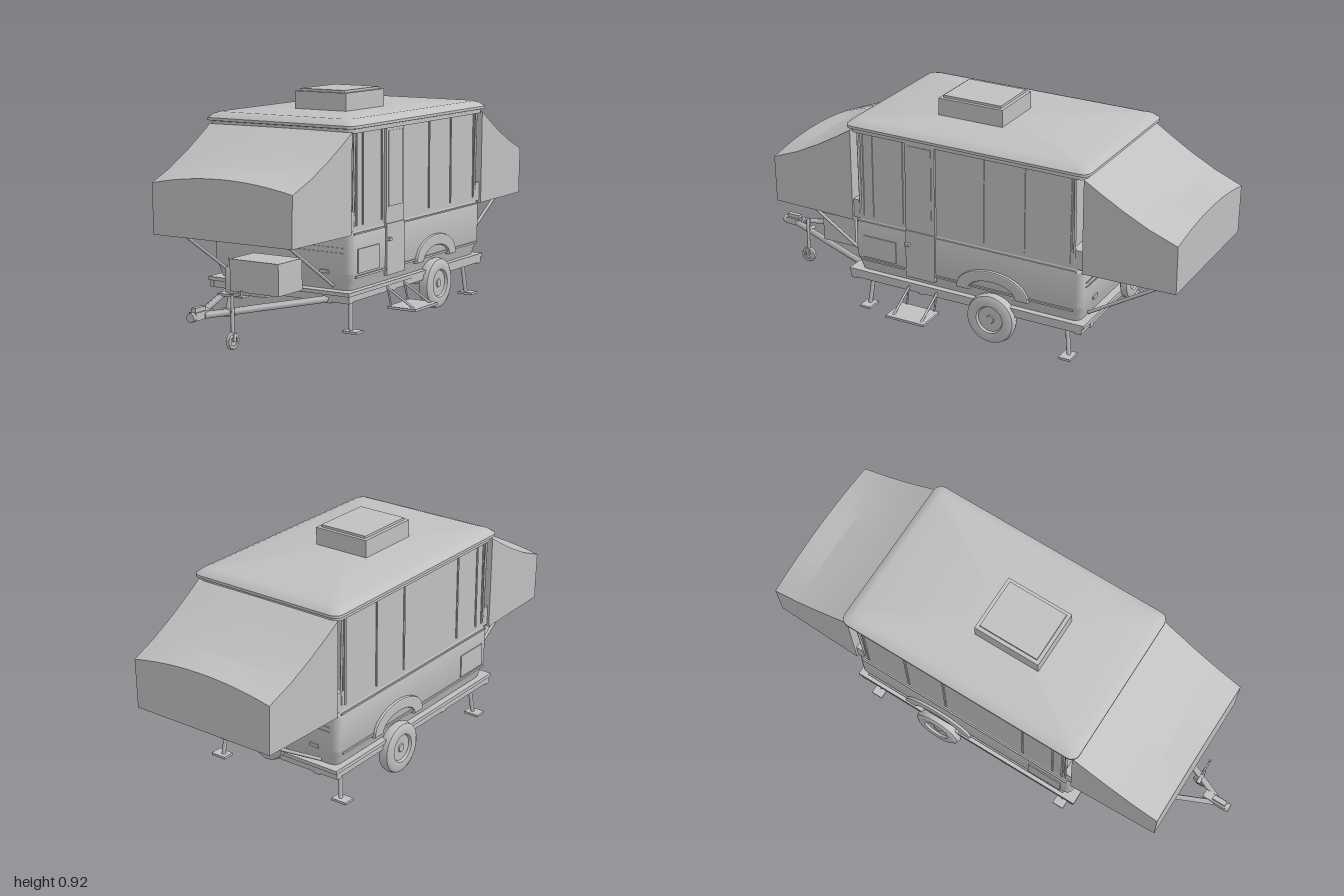
import * as THREE from 'three';
import { toCreasedNormals } from 'three/addons/utils/BufferGeometryUtils.js';

const CX = -0.063; // centre line of the trailer body

export function createModel() {
  const root = new THREE.Group();
  root.name = 'popUpCamper';
  const grey = new THREE.MeshStandardMaterial({ color: 0xc0c0c0 });
  grey.name = 'light grey';

  const add = (name, geo) => {
    const m = new THREE.Mesh(geo, grey);
    m.name = name;
    root.add(m);
    return m;
  };
  // box given by its limits
  const box = (name, x0, x1, y0, y1, z0, z1) => {
    const m = add(name, new THREE.BoxGeometry(x1 - x0, y1 - y0, Math.abs(z1 - z0)));
    m.position.set((x0 + x1) / 2, (y0 + y1) / 2, (z0 + z1) / 2);
    return m;
  };
  // round or square bar between two points
  const bar = (name, a, b, r, sides = 8) => {
    const p = new THREE.Vector3(...a), q = new THREE.Vector3(...b);
    const m = add(name, new THREE.CylinderGeometry(r, r, p.distanceTo(q), sides));
    m.position.copy(p).lerp(q, 0.5);
    m.quaternion.setFromUnitVectors(new THREE.Vector3(0, 1, 0), q.sub(p).normalize());
    return m;
  };
  // closed skin through rings of equal point count
  const loft = (rings, crease = 0.5) => {
    const pos = [], n = rings[0].length;
    const tri = (...ps) => ps.forEach(p => pos.push(...p));
    for (let i = 0; i + 1 < rings.length; i++) {
      for (let j = 0; j < n; j++) {
        const k = (j + 1) % n, A = rings[i], B = rings[i + 1];
        tri(A[j], A[k], B[k]);
        tri(A[j], B[k], B[j]);
      }
    }
    const mid = r => [0, 1, 2].map(c => r.reduce((s, p) => s + p[c], 0) / n);
    const first = rings[0], last = rings[rings.length - 1];
    for (let j = 0; j < n; j++) {
      const k = (j + 1) % n;
      tri(first[k], first[j], mid(first));
      tri(last[j], last[k], mid(last));
    }
    const g = new THREE.BufferGeometry();
    g.setAttribute('position', new THREE.Float32BufferAttribute(pos, 3));
    return toCreasedNormals(g, crease);
  };
  // horizontal rounded rectangle
  const plan = (y, hx, hz, r, zc) => {
    const pts = [];
    [[1, -1], [-1, -1], [-1, 1], [1, 1]].forEach(([sx, sz], c) => {
      for (let i = 0; i <= 4; i++) {
        const t = (c + i / 4) * Math.PI / 2;
        pts.push([CX + sx * (hx - r) + r * Math.cos(t), y, zc + sz * (hz - r) - r * Math.sin(t)]);
      }
    });
    return pts;
  };

  // lower body, deck and canvas walls
  add('lowerBody', loft([
    plan(0.178, 0.31, 0.5, 0.03, -0.0975), plan(0.22, 0.322, 0.51, 0.03, -0.0975),
    plan(0.245, 0.33, 0.518, 0.03, -0.0975), plan(0.395, 0.33, 0.518, 0.03, -0.0975),
    plan(0.412, 0.322, 0.51, 0.03, -0.0975)]));
  box('deck', -0.4, 0.273, 0.163, 0.178, -0.63, 0.445);
  box('canvasWalls', -0.387, 0.261, 0.41, 0.795, -0.568, 0.385);
  box('frontSill', -0.387, 0.261, 0.41, 0.49, 0.385, 0.43);
  box('rearSill', -0.387, 0.261, 0.41, 0.49, -0.62, -0.568);

  // roof and air conditioner
  add('roof', loft([
    plan(0.79, 0.338, 0.522, 0.03, -0.0975), plan(0.806, 0.338, 0.522, 0.03, -0.0975),
    plan(0.809, 0.351, 0.54, 0.035, -0.0975), plan(0.82, 0.351, 0.54, 0.035, -0.0975),
    plan(0.835, 0.335, 0.524, 0.035, -0.0975), plan(0.843, 0.312, 0.5, 0.035, -0.0975)], 0.6));
  box('airConditioner', -0.185, 0.06, 0.84, 0.915, -0.155, 0.135);
  box('airConditionerLid', -0.17, 0.045, 0.915, 0.925, -0.14, 0.12);

  // tented bunks: [distance out, side height, arch rise, half width]
  const bunkRows = [[0, 0.795, 0.002, 0.337], [0.07, 0.752, 0.006, 0.335], [0.16, 0.7, 0.01, 0.332],
    [0.27, 0.645, 0.018, 0.329], [0.385, 0.6, 0.035, 0.325]];
  const bunk = (name, z0, dir) => {
    const rings = bunkRows.map(([d, side, rise, h]) => {
      const z = z0 + dir * d;
      const ring = [[CX - h + 0.004, 0.4, z], [CX + h - 0.004, 0.4, z]];
      for (let i = 0; i <= 12; i++) {
        const u = 1 - i / 6;
        ring.push([CX + u * h, side + rise * (1 - u * u), z]);
      }
      return ring;
    });
    add(name, loft(dir > 0 ? rings : rings.reverse(), 0.15));
  };
  bunk('frontBunk', 0.423, 1);
  bunk('rearBunk', -0.615, -1);

  for (const s of [-1, 1]) {
    const X = d => CX + s * d;
    const side = (name, d0, d1, y0, y1, z0, z1) =>
      box(name, Math.min(X(d0), X(d1)), Math.max(X(d0), X(d1)), y0, y1, z0, z1);

    // canvas seams, tent poles and body trim
    for (const z of [0.375, 0.33, 0.19, -0.18, -0.36, -0.558])
      side('canvasSeam', 0.324, 0.328, 0.43, 0.79, z - 0.004, z + 0.004);
    for (const z of [0.392, -0.578]) bar('tentPole', [X(0.32), 0.42, z], [X(0.328), 0.8, z], 0.005);
    side('trimLine', 0.328, 0.334, 0.228, 0.236, -0.58, 0.39);
    side('beltLine', 0.328, 0.334, 0.398, 0.404, -0.59, 0.4);
    side('hatch', 0.328, 0.334, 0.245, 0.34, 0.22, 0.375);

    // bunk support struts
    bar('frontBunkStrut', [X(0.24), 0.4, 0.73], [X(0.24), 0.195, 0.41], 0.007);
    bar('rearBunkStrut', [X(0.24), 0.4, -0.95], [X(0.24), 0.19, -0.605], 0.007);

    // chassis rail and tongue arm
    side('chassisRail', 0.22, 0.25, 0.13, 0.163, -0.62, 0.44);
    side('edgeRail', 0.315, 0.333, 0.14, 0.163, -0.62, 0.44);
    bar('tongueArm', [X(0.235), 0.145, 0.42], [X(0.012), 0.145, 0.93], 0.014, 4);

    // stabiliser legs with feet
    for (const [zt, zb] of [[0.355, 0.372], [-0.535, -0.552]]) {
      bar('stabiliserLeg', [X(0.285), 0.165, zt], [X(0.298), 0.015, zb], 0.009);
      side('stabiliserFoot', 0.272, 0.34, 0.008, 0.018, zb - 0.025, zb + 0.025);
    }

    // wheel arch
    const arch = new THREE.Shape();
    arch.absellipse(0, 0, 0.155, 0.09, 0, Math.PI, false);
    arch.absellipse(0, 0, 0.11, 0.055, Math.PI, 0, true);
    const fender = add('fender', new THREE.ExtrudeGeometry(arch, {
      depth: 0.014, bevelEnabled: true, bevelSize: 0.006, bevelThickness: 0.006, bevelSegments: 2, curveSegments: 20 }));
    fender.rotation.y = s * Math.PI / 2;
    fender.position.set(X(0.322), 0.222, -0.225);
  }

  // wheels
  const tyre = (name, x, y, z, r, w, axis) => {
    const half = [[0, 0.34], [0.15, 0.34], [0.17, 0.26], [0.5, 0.26], [0.55, 0.44], [0.8, 0.5], [0.95, 0.34], [1, 0]];
    const pts = half.map(([a, b]) => new THREE.Vector2(a * r, -b * w))
      .concat(half.slice(0, -1).reverse().map(([a, b]) => new THREE.Vector2(a * r, b * w)));
    const m = add(name, toCreasedNormals(new THREE.LatheGeometry(pts, 32), 0.7));
    m.rotation[axis === 'x' ? 'z' : 'x'] = Math.PI / 2;
    m.position.set(x, y, z);
  };
  tyre('wheel', -0.397, 0.112, -0.225, 0.107, 0.056, 'x');
  tyre('wheel', 0.27, 0.112, -0.225, 0.107, 0.056, 'x');
  tyre('spareWheel', -0.1, 0.232, -0.663, 0.08, 0.04, 'z');
  bar('spareBracket', [-0.1, 0.232, -0.6], [-0.1, 0.232, -0.66], 0.015);
  bar('axle', [-0.39, 0.113, -0.225], [0.265, 0.113, -0.225], 0.016, 16);

  // cross members under the floor
  for (const z of [0.425, 0.1, -0.25, -0.605])
    box('crossMember', CX - 0.333, CX + 0.333, 0.135, 0.163, z - 0.013, z + 0.013);

  // tongue, coupler and jockey wheel
  box('couplerShaft', CX - 0.017, CX + 0.017, 0.132, 0.162, 0.88, 0.985);
  bar('coupler', [CX, 0.145, 0.96], [CX, 0.145, 1], 0.018, 16);
  box('couplerLever', CX - 0.01, CX + 0.01, 0.16, 0.178, 0.92, 0.98);
  bar('jackPost', [0.006, 0.06, 0.833], [0.006, 0.21, 0.833], 0.007, 12);
  bar('jackArm', [-0.04, 0.15, 0.833], [0.006, 0.15, 0.833], 0.009);
  bar('jackCrank', [0.0, 0.21, 0.833], [0.05, 0.21, 0.833], 0.004);
  bar('jackHandle', [0.05, 0.207, 0.833], [0.05, 0.232, 0.833], 0.005);
  box('jackFork', -0.006, 0.018, 0.035, 0.065, 0.825, 0.841);
  tyre('jockeyWheel', 0.006, 0.036, 0.833, 0.034, 0.02, 'x');

  // storage box and gas bottle on the tongue
  box('storageBox', -0.118, 0.108, 0.187, 0.312, 0.52, 0.68);
  box('storageBase', -0.13, 0.0, 0.16, 0.187, 0.54, 0.61);
  const bottle = [[0, 0.16], [0.032, 0.16], [0.037, 0.168], [0.037, 0.25], [0.03, 0.264], [0.012, 0.27],
    [0.012, 0.286], [0.025, 0.288], [0.025, 0.295], [0, 0.295]].map(p => new THREE.Vector2(...p));
  add('gasBottle', toCreasedNormals(new THREE.LatheGeometry(bottle, 24), 0.6)).position.set(-0.17, 0, 0.58);
  box('bottleTray', -0.215, -0.1, 0.15, 0.16, 0.53, 0.63);

  // front and rear panel details
  for (const [z, d] of [[0.42, 1], [-0.615, -1]]) {
    for (const y of [0.325, 0.345]) box('panelLine', -0.355, 0.23, y - 0.002, y + 0.002, z, z + d * 0.004);
    for (const x of [-0.285, 0.145]) box('markerLamp', x - 0.02, x + 0.02, 0.243, 0.257, z, z + d * 0.006);
    for (const x of [-0.325, 0.2]) bar('clearanceLamp', [x, 0.393, z], [x, 0.393, z + d * 0.006], 0.006, 12);
  }

  // door, its windows and handle
  box('doorLower', 0.262, 0.275, 0.205, 0.412, 0.035, 0.17);
  box('doorUpper', 0.258, 0.271, 0.412, 0.79, 0.035, 0.17);
  box('doorWindow', 0.27, 0.274, 0.48, 0.78, 0.05, 0.155);
  box('doorHandle', 0.274, 0.288, 0.345, 0.357, 0.15, 0.17);

  // folding entry step
  box('stepPlate', 0.285, 0.415, 0.076, 0.086, 0.01, 0.185);
  for (const z of [0.03, 0.16]) {
    bar('stepStrut', [0.25, 0.168, z], [0.4, 0.08, z], 0.005);
    bar('stepHanger', [0.27, 0.165, z], [0.29, 0.08, z], 0.004);
  }
  return root;
}
